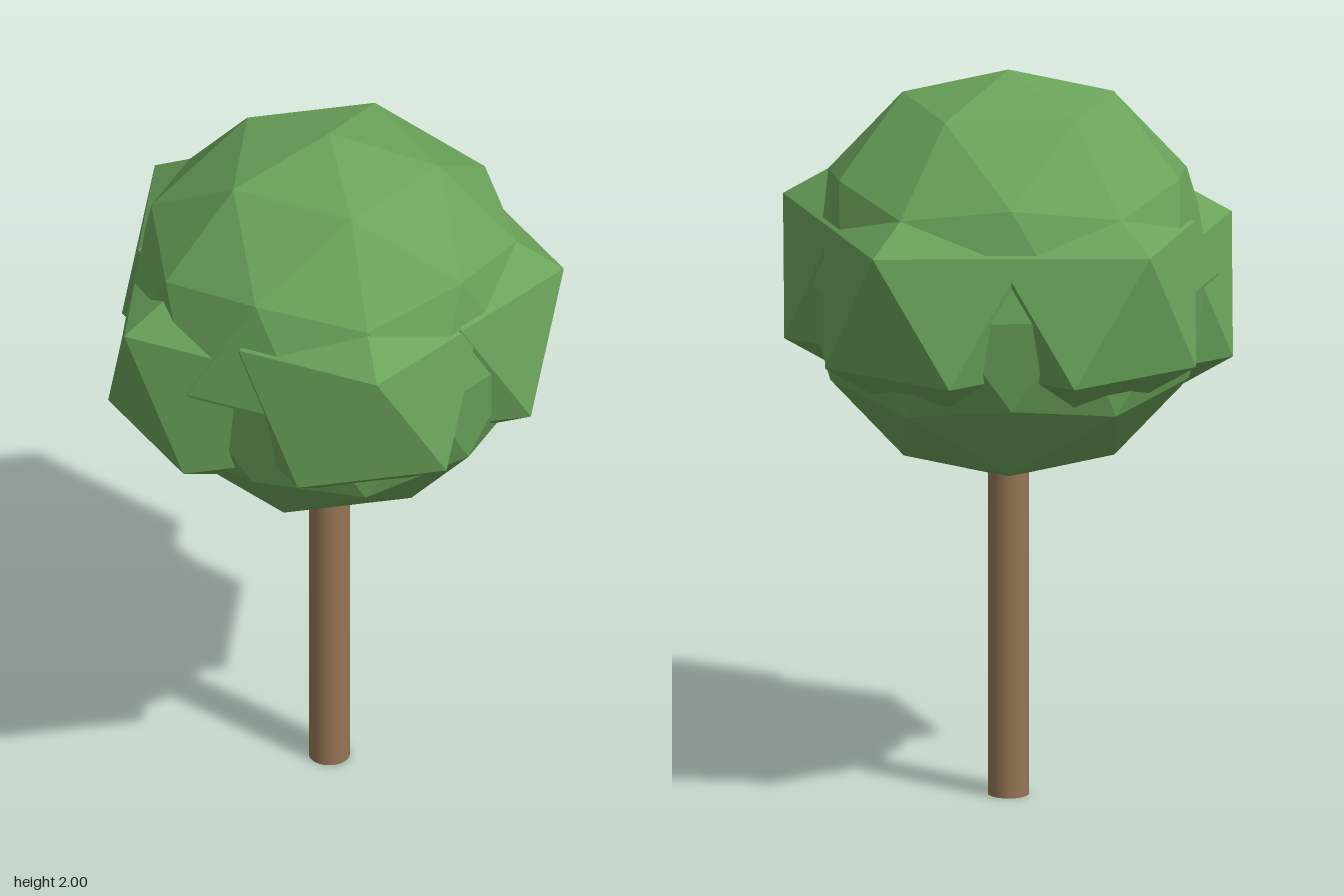
import * as THREE from 'three';

const CENTRE_X = -0.03;
const CROWN_Y = 1.4375;

// Faceted ball standing on a corner, with one upper ring corner toward +x
function facetedBall(radius, detail) {
  const geo = new THREE.IcosahedronGeometry(radius, detail);
  geo.rotateX(-Math.atan((1 + Math.sqrt(5)) / 2));
  geo.rotateY(Math.PI / 2);
  geo.computeVertexNormals();
  return geo;
}

export function createModel() {
  const leaf = new THREE.MeshStandardMaterial({ color: 0x6aa35a, flatShading: true });
  leaf.name = 'leafGreen';
  const bark = new THREE.MeshStandardMaterial({ color: 0x967555 });
  bark.name = 'barkBrown';

  const tree = new THREE.Group();
  tree.name = 'tree';

  // Straight round trunk reaching into the crown
  const trunk = new THREE.Mesh(new THREE.CylinderGeometry(0.055, 0.055, 1, 32), bark);
  trunk.name = 'trunk';
  trunk.position.set(CENTRE_X, 0.5, 0);
  tree.add(trunk);

  // Main ball of leaves
  const crown = new THREE.Mesh(facetedBall(0.5625, 1), leaf);
  crown.name = 'crown';
  crown.position.set(CENTRE_X, CROWN_Y, 0);
  tree.add(crown);

  // Five coarse leaf clumps around the middle, at slightly different heights
  const clumpGeo = facetedBall(0.386, 0);
  [0, -0.007, -0.055, 0, 0].forEach((dy, i) => {
    const a = (i * Math.PI * 2) / 5;
    const clump = new THREE.Mesh(clumpGeo, leaf);
    clump.name = `leafClump${i + 1}`;
    clump.position.set(CENTRE_X + 0.285 * Math.cos(a), CROWN_Y + dy, 0.285 * Math.sin(a));
    clump.rotation.y = -a;
    tree.add(clump);
  });

  return tree;
}
